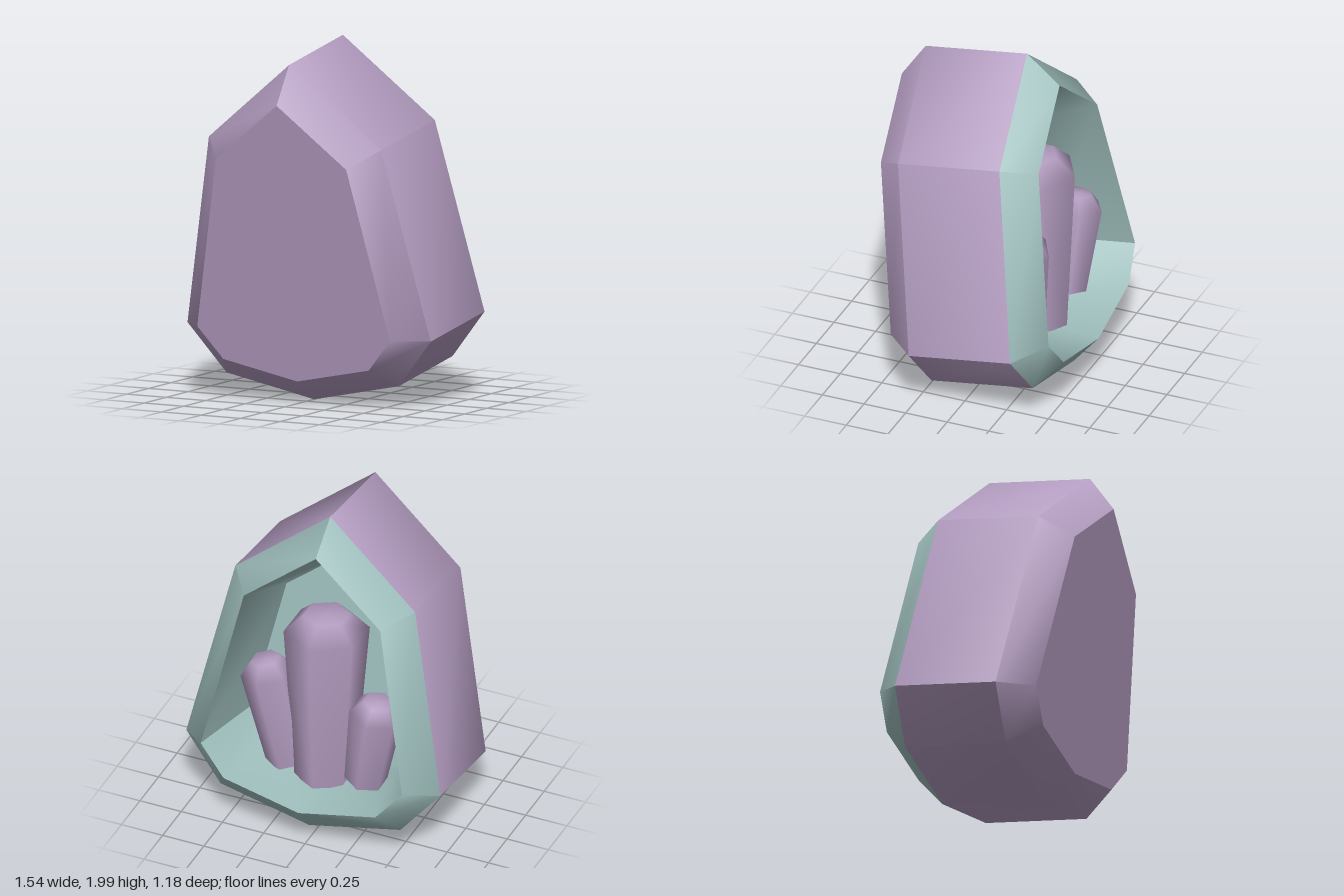
import * as THREE from 'three';
import { toCreasedNormals } from 'three/addons/utils/BufferGeometryUtils.js';

const TILT = 0.148;

// Full closed loop from its right half (x, y), counter-clockwise seen from +z
function loop(half, z, scale = 1, cy = 0) {
  const left = half.map(([x, y]) => [-x, y]);
  const right = half.slice(1, -1).reverse();
  return [...left, ...right].map(([x, y]) => [x * scale, cy + (y - cy) * scale, z]);
}

// Bevelled shell: purple outside, teal rim and hollow back
function shellGeometry() {
  const outer = [[0, 1.955], [0.545, 1.504], [0.77, 0.418], [0.545, 0.145], [0, 0.03]];
  const inset = [[0, 1.768], [0.413, 1.429], [0.61, 0.455], [0.46, 0.277], [0, 0.181]];
  const rings = [
    loop(inset, 0.335),
    loop(outer, 0.163),
    loop(outer, -0.453),
    loop(inset, -0.623),
    loop(inset, -0.185, 0.83, 0.82), // inner wall of the hollow
  ];
  const n = rings[0].length;
  const pos = [];
  const tri = (a, b, c) => pos.push(...a, ...b, ...c);

  // front facet
  for (let i = 1; i < n - 1; i++) tri(rings[0][0], rings[0][i], rings[0][i + 1]);
  let purpleEnd = 0;
  // bands from front to rim, then back into the hollow
  for (let r = 0; r < rings.length - 1; r++) {
    const A = rings[r], B = rings[r + 1];
    for (let i = 0; i < n; i++) {
      const j = (i + 1) % n;
      tri(A[i], B[i], B[j]);
      tri(A[i], B[j], A[j]);
    }
    if (r === 1) purpleEnd = pos.length / 3;
  }
  // end wall of the hollow
  const W = rings[rings.length - 1];
  for (let i = 1; i < n - 1; i++) tri(W[0], W[i + 1], W[i]);

  let geo = new THREE.BufferGeometry();
  geo.setAttribute('position', new THREE.Float32BufferAttribute(pos, 3));
  geo = toCreasedNormals(geo, THREE.MathUtils.degToRad(45));
  geo.clearGroups();
  geo.addGroup(0, purpleEnd, 0);
  geo.addGroup(purpleEnd, pos.length / 3 - purpleEnd, 1);
  return geo;
}

// Six-sided crystal, wider at the top, with a bevelled tip
function crystal(name, base, top, rBase, rTop, bevel, material) {
  const a = new THREE.Vector3(...base);
  const axis = new THREE.Vector3(...top).sub(a);
  const h = axis.length();
  const profile = [
    [rBase, 0], [rTop, h - bevel], [rTop * 0.55, h], [0, h + 0.005],
  ].map(([r, y]) => new THREE.Vector2(r, y));
  const mesh = new THREE.Mesh(new THREE.LatheGeometry(profile, 6), material);
  mesh.name = name;
  mesh.position.copy(a);
  mesh.quaternion.setFromUnitVectors(new THREE.Vector3(0, 1, 0), axis.normalize());
  return mesh;
}

export function createModel() {
  const purple = new THREE.MeshStandardMaterial({ color: 0xb29bbf });
  purple.name = 'mauve';
  const teal = new THREE.MeshStandardMaterial({ color: 0x9dbdbb });
  teal.name = 'pale teal';

  const model = new THREE.Group();
  model.name = 'hollowGem';

  // shell leans forward
  const shell = new THREE.Mesh(shellGeometry(), [purple, teal]);
  shell.name = 'shell';
  shell.rotation.x = TILT;
  model.add(shell);

  // crystals growing in the hollow
  model.add(
    crystal('middleCrystal', [0, 0.31, -0.23], [0, 1.37, -0.205], 0.17, 0.24, 0.1, purple),
    crystal('leftCrystal', [0.22, 0.36, -0.24], [0.34, 1.02, -0.28], 0.12, 0.155, 0.08, purple),
    crystal('rightCrystal', [-0.27, 0.39, -0.28], [-0.36, 0.95, -0.31], 0.12, 0.155, 0.08, purple),
  );
  return model;
}
